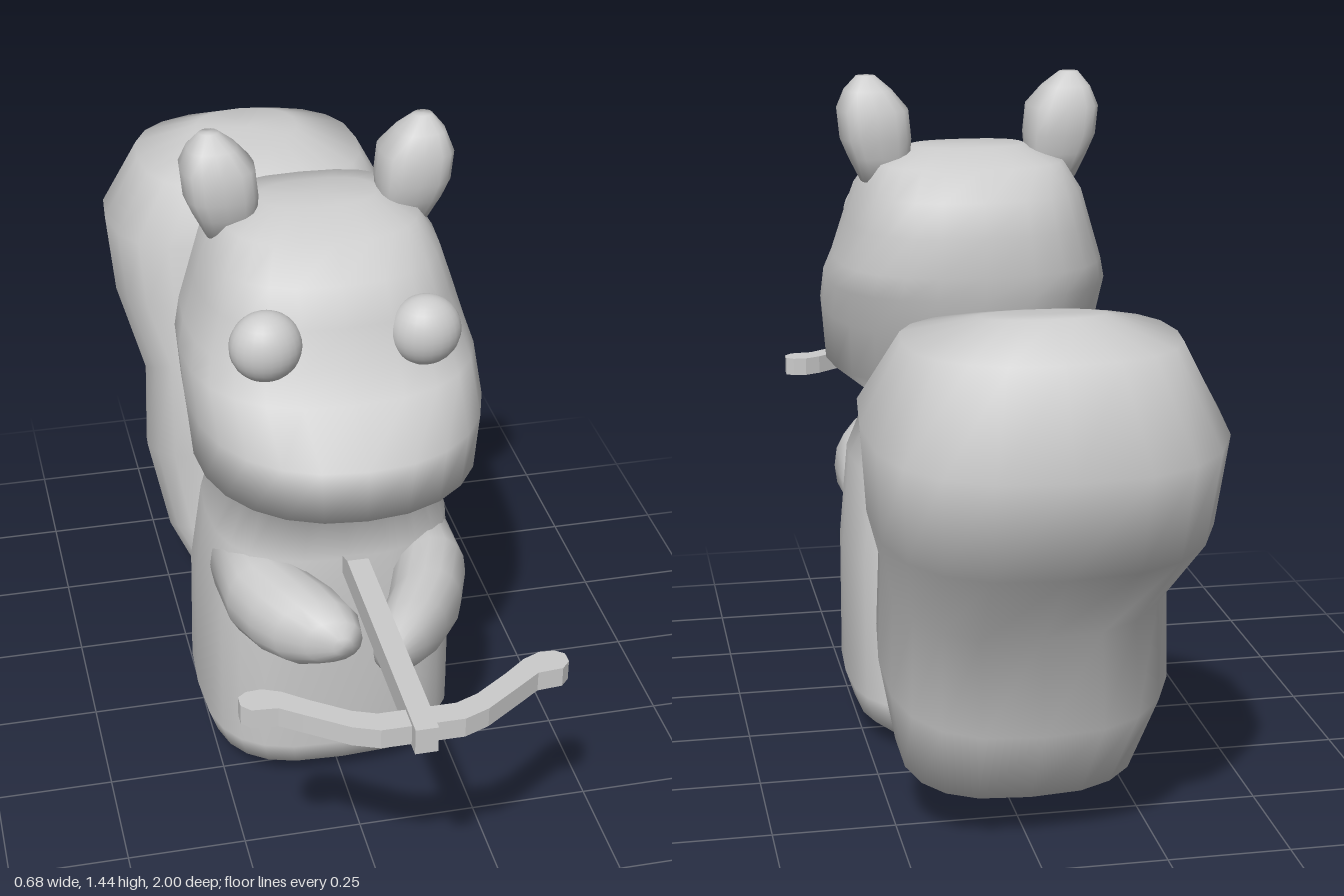
import * as THREE from 'three';

const grey = new THREE.MeshStandardMaterial({ color: 0xcccccc });

function add(parent, name, geometry) {
  const mesh = new THREE.Mesh(geometry, grey);
  mesh.name = name;
  parent.add(mesh);
  return mesh;
}

// Skin over rings. Each ring: [z1, y1, z2, y2, half width, roundness, centre x],
// where (z1, y1) and (z2, y2) are opposite points of the ring in the side plane.
function loft(rings, sides = 20) {
  const pos = [], index = [];
  const pow = (v, n) => Math.sign(v) * Math.abs(v) ** (2 / n);
  for (const [z1, y1, z2, y2, hw, n = 2, cx = 0] of rings) {
    for (let j = 0; j < sides; j++) {
      const t = (j / sides) * Math.PI * 2;
      const c = pow(Math.cos(t), n), s = pow(Math.sin(t), n);
      pos.push(cx + hw * c, (y1 + y2) / 2 + s * (y1 - y2) / 2, (z1 + z2) / 2 + s * (z1 - z2) / 2);
    }
  }
  const last = rings.length - 1;
  for (let i = 0; i < last; i++) {
    for (let j = 0; j < sides; j++) {
      const k = (j + 1) % sides;
      const a = i * sides + j, b = i * sides + k, c = a + sides, d = b + sides;
      index.push(a, c, b, b, c, d);
    }
  }
  // end caps
  for (const i of [0, last]) {
    const [z1, y1, z2, y2, , , cx = 0] = rings[i];
    const centre = pos.length / 3;
    pos.push(cx, (y1 + y2) / 2, (z1 + z2) / 2);
    for (let j = 0; j < sides; j++) {
      const a = i * sides + j, b = i * sides + (j + 1) % sides;
      if (i === 0) index.push(centre, a, b);
      else index.push(centre, b, a);
    }
  }
  const g = new THREE.BufferGeometry();
  g.setAttribute('position', new THREE.Float32BufferAttribute(pos, 3));
  g.setIndex(index);
  g.computeVertexNormals();
  return g;
}

// horizontal ring
const level = (y, front, back, hw, n, cx) => [front, y, back, y, hw, n, cx];
// upright ring
const upright = (z, bottom, top, hw, cx) => [z, bottom, z, top, hw, 2.2, cx];

export function createModel() {
  const model = new THREE.Group();
  model.name = 'squirrel';

  // torso and head in one skin, from the feet up
  add(model, 'bodyAndHead', loft([
    level(0, 0.26, -0.13, 0.19, 3),
    level(0.05, 0.33, -0.18, 0.255, 3),
    level(0.11, 0.355, -0.195, 0.275, 3),
    level(0.4, 0.35, -0.165, 0.275, 2.8),
    level(0.6, 0.365, -0.13, 0.255, 2.6),
    level(0.74, 0.32, -0.07, 0.2, 2.4),
    level(0.8, 0.53, -0.105, 0.29, 2.2),
    level(0.92, 0.54, -0.158, 0.3, 2.3),
    level(1.0, 0.42, -0.172, 0.3, 2.5),
    level(1.05, 0.365, -0.177, 0.285, 2.6),
    level(1.13, 0.345, -0.172, 0.26, 2.6),
    level(1.2, 0.3, -0.15, 0.238, 2.7),
    level(1.26, 0.235, -0.1, 0.2, 2.7),
    level(1.29, 0.13, 0, 0.12, 2.5),
  ], 24));

  // bushy tail, from its root to the tip
  add(model, 'tail', loft([
    [-0.12, 0.04, -0.12, 0.0, 0.1, 2.5],
    [-0.2, 0.12, -0.3, 0.01, 0.16, 2.5],
    [-0.31, 0.25, -0.63, 0.1, 0.245, 2.7],
    [-0.29, 0.46, -0.755, 0.28, 0.285, 2.7],
    [-0.33, 0.69, -0.735, 0.47, 0.28, 2.7],
    [-0.4, 0.79, -0.94, 0.66, 0.325, 2.7],
    [-0.4, 0.94, -1, 0.86, 0.34, 2.7],
    [-0.47, 1.05, -0.91, 1.05, 0.26, 2.5],
    [-0.62, 1.085, -0.79, 1.105, 0.12, 2.2],
  ]));

  for (const [side, s] of [['left', 1], ['right', -1]]) {
    add(model, side + 'Ear', loft([
      level(1.22, 0.1, 0.01, 0.05, 3, s * 0.18),
      level(1.27, 0.12, 0, 0.065, 3, s * 0.19),
      level(1.31, 0.13, -0.01, 0.075, 3, s * 0.197),
      level(1.37, 0.13, -0.01, 0.075, 3, s * 0.203),
      level(1.41, 0.105, 0.015, 0.05, 3, s * 0.212),
      level(1.44, 0.075, 0.04, 0.02, 2, s * 0.217),
    ], 16));

    const eye = add(model, side + 'Eye', new THREE.SphereGeometry(0.073, 24, 16));
    eye.position.set(s * 0.16, 1.1, 0.327);
    eye.scale.z = 0.85;
  }

  // arms, from shoulder to paw; the left one reaches further forward
  add(model, 'leftArm', loft([
    upright(0.2, 0.43, 0.6, 0.07, 0.19),
    upright(0.34, 0.41, 0.61, 0.08, 0.18),
    upright(0.45, 0.42, 0.61, 0.08, 0.14),
    upright(0.54, 0.45, 0.605, 0.075, 0.09),
    upright(0.61, 0.485, 0.595, 0.055, 0.05),
    upright(0.645, 0.52, 0.56, 0.02, 0.025),
  ], 16));
  add(model, 'rightArm', loft([
    upright(0.2, 0.42, 0.6, 0.07, -0.19),
    upright(0.34, 0.41, 0.6, 0.09, -0.16),
    upright(0.42, 0.415, 0.595, 0.1, -0.12),
    upright(0.48, 0.43, 0.585, 0.09, -0.09),
    upright(0.52, 0.46, 0.56, 0.06, -0.065),
    upright(0.54, 0.49, 0.53, 0.02, -0.05),
  ], 16));

  // crossbow: tapered stock and curved flat bow
  const crossbow = new THREE.Group();
  crossbow.name = 'crossbow';
  model.add(crossbow);

  const stockSide = new THREE.Shape([
    [1, 0.6], [1, 0.655], [0.45, 0.655], [0.41, 0.64], [0.41, 0.6],
  ].map(([z, y]) => new THREE.Vector2(-z, y)));
  const stock = new THREE.ExtrudeGeometry(stockSide, { depth: 0.044, bevelEnabled: false });
  stock.translate(0, 0, -0.022).rotateY(Math.PI / 2);
  add(crossbow, 'stock', stock);

  const half = [
    [0.08, 0.975], [0.13, 0.955], [0.21, 0.9], [0.25, 0.872], [0.3, 0.868], [0.317, 0.85],
    [0.317, 0.825], [0.3, 0.812], [0.27, 0.81], [0.235, 0.825], [0.19, 0.86], [0.12, 0.908], [0.075, 0.926],
  ];
  const outline = [...half, ...half.map(([x, z]) => [-x, z]).reverse()];
  const bow = new THREE.ExtrudeGeometry(
    new THREE.Shape(outline.map(([x, z]) => new THREE.Vector2(x, z))),
    { depth: 0.042, bevelEnabled: false });
  bow.rotateX(Math.PI / 2).translate(0, 0.646, 0);
  add(crossbow, 'bow', bow);

  return model;
}
